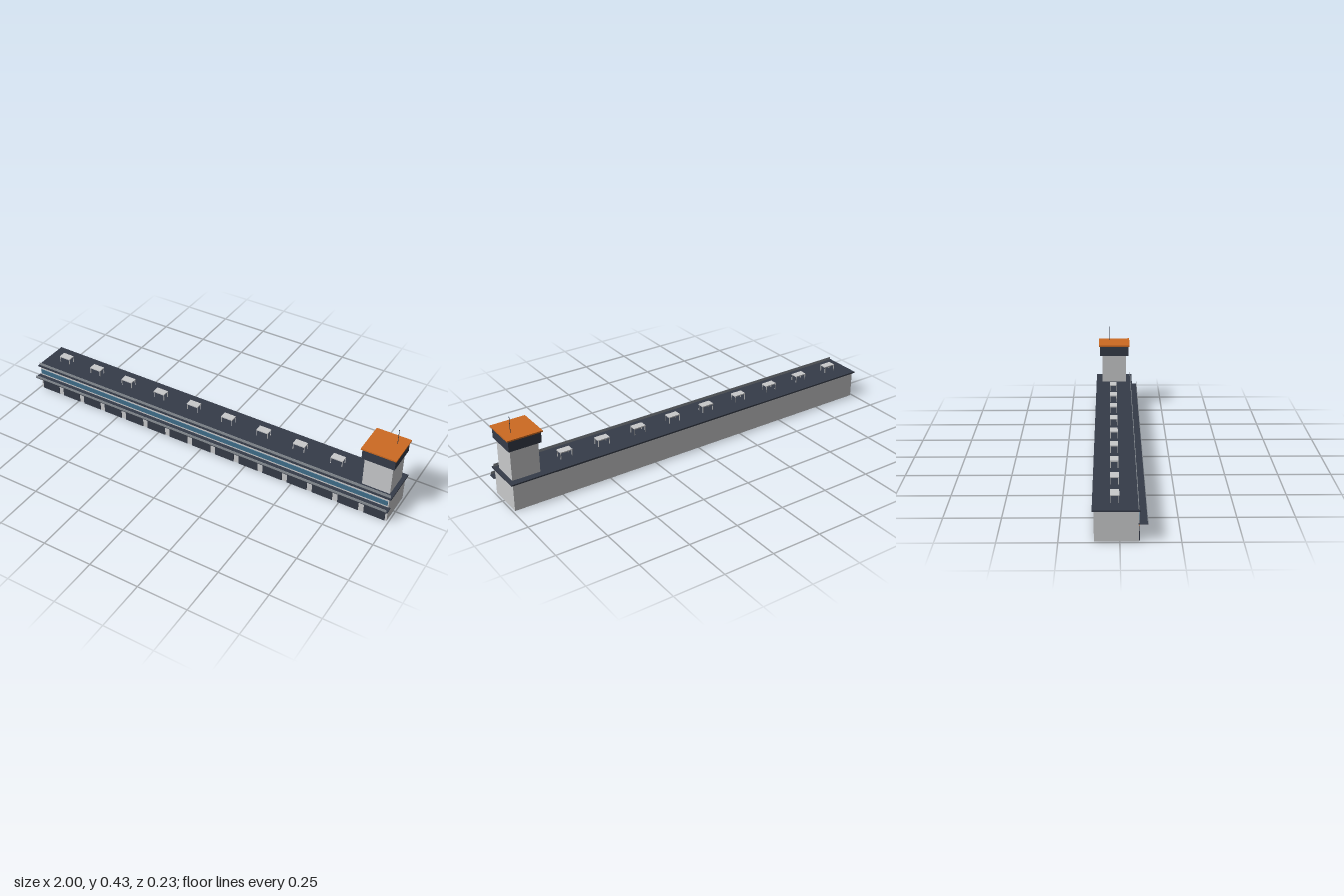
import * as THREE from 'three';

export function createModel() {
  const model = new THREE.Group();
  model.name = 'pitBuilding';
  const mat = (name, color) => {
    const m = new THREE.MeshStandardMaterial({ color });
    m.name = name;
    return m;
  };
  const wall = mat('wallGrey', 0xc8c9cb);
  const dark = mat('darkSlate', 0x353b48);
  const orange = mat('orange', 0xcd6a22);
  const glass = mat('blueGlass', 0x3f6d8a);
  const rail = mat('railGrey', 0x8a9096);

  // Box given by its limits on each axis
  const box = (name, material, [x0, x1], [y0, y1], [z0, z1], parent = model) => {
    const mesh = new THREE.Mesh(new THREE.BoxGeometry(x1 - x0, y1 - y0, z1 - z0), material);
    mesh.position.set((x0 + x1) / 2, (y0 + y1) / 2, (z0 + z1) / 2);
    mesh.name = name;
    parent.add(mesh);
    return mesh;
  };
  const around = (c, size) => [c - size / 2, c + size / 2];

  // Long hall with its roof slab and front parapet
  box('hall', wall, [-0.99, 0.99], [0, 0.133], [-0.105, 0.078]);
  box('roof', dark, [-1, 1], [0.133, 0.14], [-0.113, 0.085]);
  box('roofRail', rail, [-0.995, 0.995], [0.14, 0.154], [0.0755, 0.0775]);

  // Upper window band and viewing balcony
  box('windowBand', glass, [-0.985, 0.985], [0.092, 0.117], [0.078, 0.081]);
  box('balcony', dark, [-1, 1], [0.078, 0.082], [0.075, 0.114]);
  box('balconyRail', rail, [-0.995, 0.995], [0.082, 0.095], [0.1125, 0.1145]);

  // Garage doors, each with a stripe and a sign plate
  for (let i = 0; i < 15; i++) {
    const x = (i - 7) * 0.1325;
    const bay = new THREE.Group();
    bay.name = 'garageBay';
    model.add(bay);
    box('door', dark, around(x, 0.105), [0, 0.064], [0.078, 0.081], bay);
    box('doorStripe', orange, around(x, 0.105), [0.064, 0.07], [0.078, 0.082], bay);
    box('signPlate', dark, around(x, 0.026), [0.07, 0.078], [0.078, 0.0815], bay);
  }

  // Rooftop units: thin slabs raised on slim legs
  for (let i = 0; i < 9; i++) {
    const x = -0.89 + i * 0.197;
    const unit = new THREE.Group();
    unit.name = 'roofUnit';
    model.add(unit);
    box('unitTop', wall, around(x, 0.062), [0.17, 0.175], around(-0.02, 0.037), unit);
    for (const sx of [-1, 1]) for (const sz of [-1, 1]) {
      box('unitLeg', wall, around(x + sx * 0.029, 0.003), [0.14, 0.17],
        around(-0.02 + sz * 0.0165, 0.003), unit);
    }
  }

  // Control tower
  const tower = new THREE.Group();
  tower.name = 'controlTower';
  model.add(tower);
  const cx = 0.911, cz = -0.014;
  box('towerShaft', wall, around(cx, 0.138), [0.14, 0.293], around(cz, 0.132), tower);
  box('towerCabin', dark, around(cx, 0.159), [0.293, 0.346], around(cz, 0.159), tower);
  box('towerRoof', orange, around(cx, 0.171), [0.346, 0.353], around(cz, 0.172), tower);
  const antenna = new THREE.Mesh(new THREE.CylinderGeometry(0.0013, 0.0013, 0.08, 8), dark);
  antenna.position.set(0.952, 0.393, -0.041);
  antenna.name = 'antenna';
  tower.add(antenna);

  return model;
}
